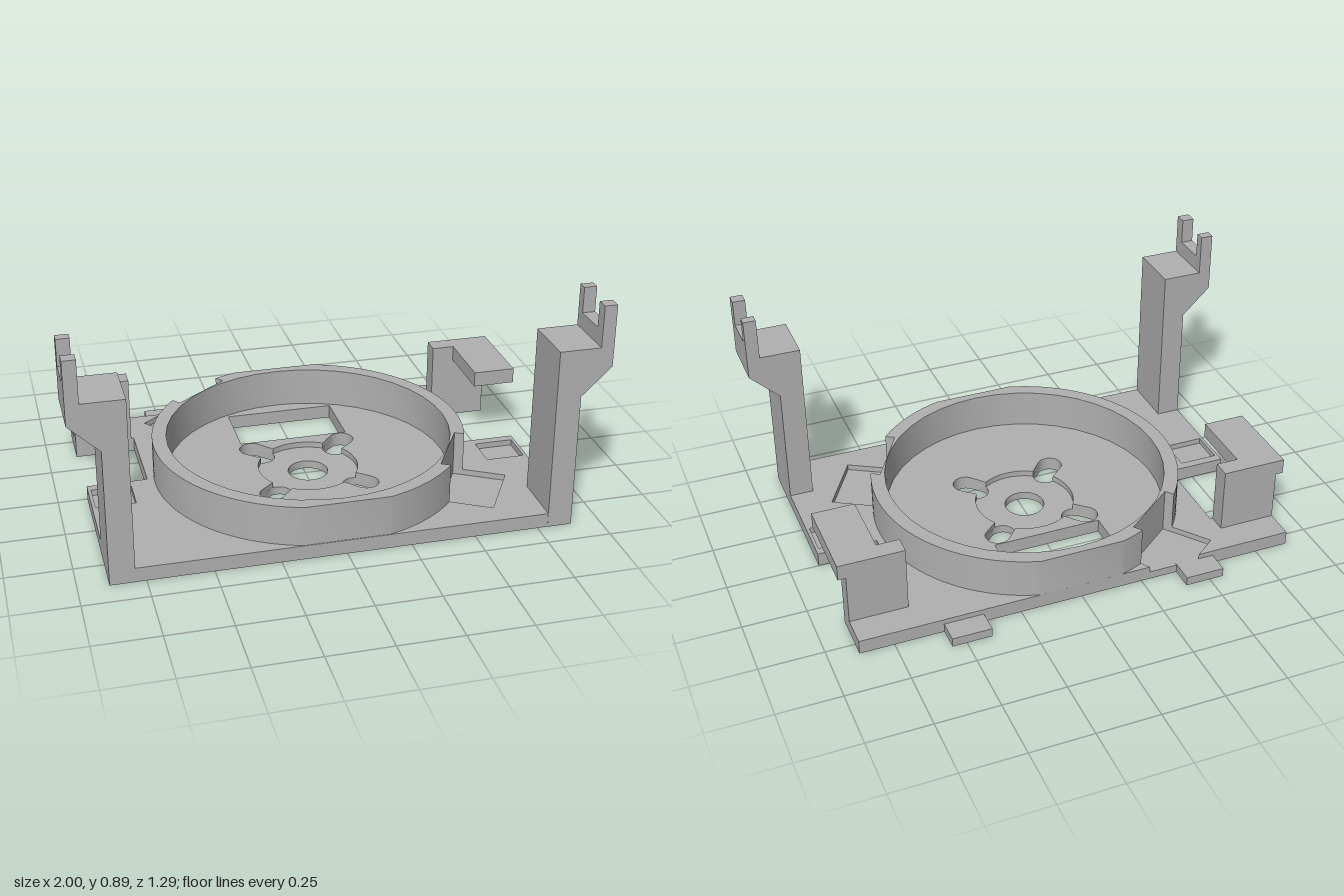
import * as THREE from 'three';
import { toCreasedNormals } from 'three/addons/utils/BufferGeometryUtils.js';

const PI = Math.PI;
const CZ = 0.042;          // z of the ring centre
const FLOOR = 0.033;       // height of the recess floors
const TOP = 0.057;         // height of the plate top
const CHORD = 0.566, HALF = 0.135; // flat cuts in the ring wall
const CUT_FRONT = 0.526, CUT_BACK = 4.055; // their angles

const grey = new THREE.MeshStandardMaterial({ color: 0xb0b0b0 });
grey.name = 'grey plastic';

export function createModel() {
  const model = new THREE.Group();
  model.name = 'mountingBracket';

  const add = (name, geometry) => {
    const mesh = new THREE.Mesh(geometry, grey);
    mesh.name = name;
    model.add(mesh);
  };
  const poly = (pts, Type = THREE.Path) => new Type(pts.map(([x, z]) => new THREE.Vector2(x, z)));
  const rect = (x0, x1, z0, z1) => poly([[x0, z0], [x1, z0], [x1, z1], [x0, z1]]);
  // Extrudes an (x, z) outline upward from y0 to y1
  const slab = (name, shape, y0, y1) => {
    const g = new THREE.ExtrudeGeometry(shape, { depth: y1 - y0, bevelEnabled: false, curveSegments: 20 });
    g.rotateX(PI / 2).translate(0, y1, 0);
    add(name, toCreasedNormals(g, 0.4));
  };
  const box = (name, x0, x1, y0, y1, z0, z1) => add(name, new THREE.BoxGeometry(
    Math.abs(x1 - x0), y1 - y0, z1 - z0).translate((x0 + x1) / 2, (y0 + y1) / 2, (z0 + z1) / 2));
  // Point at distance u along an angle and v across it, from the ring centre
  const polar = (a, u, v) => [u * Math.cos(a) - v * Math.sin(a), CZ + u * Math.sin(a) + v * Math.cos(a)];

  // Plate outline with side notches; extra points may cut the rear edge
  const outline = (rear) => poly([
    [-0.885, 0.642], [-0.885, 0], [-0.645, 0], [-0.645, -0.363], [-0.885, -0.363], [-0.885, -0.555],
    ...rear,
    [0.885, -0.555], [0.885, -0.363], [0.645, -0.363], [0.645, 0], [0.885, 0], [0.885, 0.642],
  ], THREE.Shape);
  const window = () => rect(-0.223, 0.223, -0.46, -0.203);
  const diagonals = [1, 3, 5, 7].map((k) => k * PI / 4);

  // Lower plate layer: through holes only
  const lower = outline([]);
  const bore = () => new THREE.Path().absarc(0, CZ, 0.08, 0, 2 * PI);
  lower.holes.push(window(), bore());
  for (const a of diagonals) {
    const near = polar(a, 0.218, 0), far = polar(a, 0.268, 0);
    lower.holes.push(new THREE.Path()
      .absarc(...far, 0.05, a - PI / 2, a + PI / 2)
      .absarc(...near, 0.05, a + PI / 2, a + 3 * PI / 2));
  }
  slab('lowerPlate', lower, 0, FLOOR);

  // Upper plate layer: also opens the shallow recesses
  const upper = outline([
    [-0.495, -0.555], polar(CUT_BACK, 0.776, -HALF), polar(CUT_BACK, CHORD, -HALF),
    polar(CUT_BACK, CHORD, HALF), [-0.285, -0.555],
  ]);
  upper.holes.push(window(), rect(0.715, 0.872, 0.035, 0.175), rect(-0.872, -0.715, 0.035, 0.175));
  upper.holes.push(poly([[CHORD, -HALF], [0.776, -HALF], [0.776, HALF], [CHORD, HALF]]
    .map(([u, v]) => polar(CUT_FRONT, u, v))));
  const recess = new THREE.Path(); // round recess with the four slots opening from it
  diagonals.forEach((a) => {
    recess.absarc(0, CZ, 0.2, a - PI / 2 + 0.228, a - 0.228);
    recess.absarc(...polar(a, 0.268, 0), 0.05, a - PI / 2, a + PI / 2);
  });
  upper.holes.push(recess);
  slab('upperPlate', upper, FLOOR, TOP);

  // Ring wall, trimmed flat at front and back, with two thinned flats
  const ring = new THREE.Shape();
  let from = 4.712 + 0.274 - 2 * PI;
  for (const [a, half, cut] of [[CUT_FRONT, 0.2195, true], [PI / 2, 0.27, false],
    [CUT_BACK, 0.2195, true], [1.5 * PI, 0.274, false]]) {
    ring.absarc(0, CZ, 0.62, from, a - half);
    if (cut) {
      ring.lineTo(...polar(a, CHORD, -HALF));
      ring.lineTo(...polar(a, CHORD, HALF));
    }
    from = a + half;
  }
  ring.holes.push(new THREE.Path().absarc(0, CZ, 0.564, 0, 2 * PI));
  slab('ringWall', ring, TOP, 0.217);

  for (const [s, side] of [[1, 'left'], [-1, 'right']]) {
    // Front arm leaning outward, ending in a fork
    const arm = poly([[0.79, 0], [0.885, 0], [0.885, 0.54], [1, 0.65], [1, 0.793], [0.95, 0.793],
      [0.95, 0.73], [0.79, 0.73]].map(([x, y]) => [s * x, y]), THREE.Shape);
    add(side + 'Arm', new THREE.ExtrudeGeometry(arm, { depth: 0.223, bevelEnabled: false }).translate(0, 0, 0.42));
    box(side + 'ForkFrontProng', s * 0.95, s * 1, 0.793, 0.895, 0.595, 0.643);
    box(side + 'ForkBackProng', s * 0.95, s * 1, 0.793, 0.895, 0.42, 0.458);

    // Rear post carrying an L-shaped hook
    box(side + 'HookPost', s * 0.655, s * 0.885, TOP, 0.26, -0.435, -0.363);
    slab(side + 'Hook', poly([[0.655, -0.435], [0.915, -0.435], [0.915, -0.088], [0.745, -0.088],
      [0.745, -0.363], [0.655, -0.363]].map(([x, z]) => [s * x, z]), THREE.Shape), 0.26, 0.322);

    // Rear tab
    box(side + 'RearTab', s * 0.4, s * 0.557, 0, 0.036, -0.645, -0.545);
  }
  return model;
}
